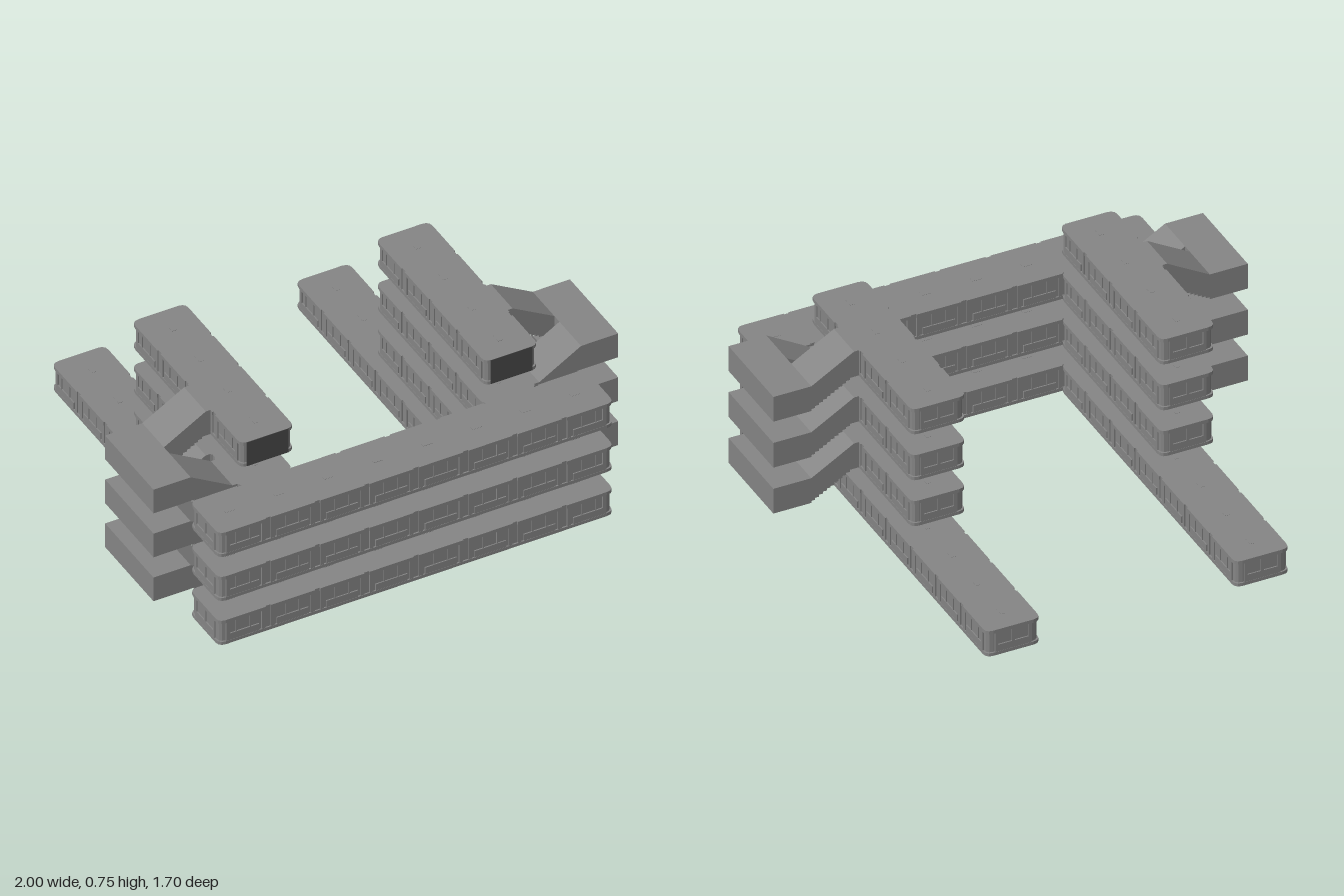
import * as THREE from 'three';
import { mergeGeometries } from 'three/addons/utils/BufferGeometryUtils.js';

const H = 0.115;      // storey height
const PITCH = 0.21;   // floor to floor
const W = 0.23;       // block depth
const grey = new THREE.MeshStandardMaterial({ color: 0x858585, flatShading: true });
const dark = new THREE.MeshStandardMaterial({ color: 0x484848, flatShading: true });

function part(name, geometry, material = grey) {
  const mesh = new THREE.Mesh(geometry, material);
  mesh.name = name;
  return mesh;
}

function box(w, h, d, x, y, z) {
  return new THREE.BoxGeometry(w, h, d).translate(x, y, z);
}

// Horizontal slab with rounded plan corners and a small groove at each of n - 1 module joints
function slab(l, w, r, y0, y1, n = 1) {
  const a = l / 2, b = w / 2, half = 0.011, depth = 0.005;
  const s = new THREE.Shape();
  const longEdge = (dir) => {
    for (let i = 1; i < n; i++) {
      const x = dir * (-a + (i * l) / n), z = -dir * b, zIn = -dir * (b - depth);
      s.lineTo(x - dir * half, z).lineTo(x - dir * half, zIn);
      s.lineTo(x + dir * half, zIn).lineTo(x + dir * half, z);
    }
    s.lineTo(dir * (a - r), -dir * b);
  };
  s.moveTo(-a + r, -b);
  longEdge(1);
  s.quadraticCurveTo(a, -b, a, -b + r);
  s.lineTo(a, b - r).quadraticCurveTo(a, b, a - r, b);
  longEdge(-1);
  s.quadraticCurveTo(-a, b, -a, b - r);
  s.lineTo(-a, -b + r).quadraticCurveTo(-a, -b, -a + r, -b);
  return new THREE.ExtrudeGeometry(s, { depth: y1 - y0, bevelEnabled: false, curveSegments: 3 })
    .rotateX(-Math.PI / 2).translate(0, y0, 0);
}

// One storey block along x, made of n equal modules
function block(name, length, n) {
  const g = new THREE.Group();
  g.name = name;
  const inset = 0.006, step = length / n;
  g.add(part('floorSlab', slab(length, W, 0.03, 0, 0.014)));
  g.add(part('wallCore', slab(length - 2 * inset, W - 2 * inset, 0.028, 0.014, 0.1)));
  g.add(part('roofSlab', slab(length, W, 0.03, 0.1, H, n)));

  const panels = [], posts = [], hatches = [];
  for (let i = 0; i < n; i++) {
    const x = -length / 2 + (i + 0.5) * step;
    hatches.push(box(0.04, 0.001, 0.02, x, H + 0.0005, 0));
    for (const side of [-1, 1]) {
      const z = side * (W / 2 - 0.005);
      // low wall under the windows, then slim window posts
      panels.push(box(step - 0.076, 0.03, 0.008, x, 0.029, z));
      for (const dx of [-0.03, 0.03]) posts.push(box(0.005, 0.056, 0.006, x + dx, 0.072, z));
      // pilasters flanking the module joints
      for (const e of [-1, 1]) {
        const atEnd = (i === 0 && e < 0) || (i === n - 1 && e > 0);
        posts.push(box(0.016, 0.086, 0.008, x + e * (step / 2 - (atEnd ? 0.04 : 0.02)), 0.057, z));
      }
    }
  }
  // end walls
  for (const side of [-1, 1]) {
    const x = side * (length / 2 - 0.005);
    panels.push(box(0.008, 0.03, 0.14, x, 0.029, 0));
    for (const z of [-0.07, 0, 0.07]) posts.push(box(0.008, 0.086, 0.012, x, 0.057, z));
  }
  g.add(part('wallPanels', mergeGeometries(panels)));
  g.add(part('pilasters', mergeGeometries(posts)));
  g.add(part('roofHatches', mergeGeometries(hatches)));
  return g;
}

// Wing running along z from zBack to zFront
function wing(side, level, zBack, zFront, n) {
  const g = block('wing', zFront - zBack, n);
  g.rotation.y = Math.PI / 2;
  g.position.set(side * 0.525, level * PITCH, (zBack + zFront) / 2);
  return g;
}

// Covered stair flight with a stepped underside, between the storey at y0 and the landing at y1
function flight(side, y0, y1, zMin) {
  const steps = 11, xInner = 0.63, xa = 0.66, xb = 0.84, rise = (y1 - y0) / steps;
  const pts = [[xInner, y0], [xa, y0]];
  for (let i = 0; i < steps; i++) {
    const x = xa + ((xb - xa) * i) / steps;
    const xNext = xa + ((xb - xa) * (i + 1)) / steps;
    const y = y0 + rise * (i + 1);
    // keep the notches inside the sloping underside
    if (rise > 0) pts.push([x, y], [xNext, y]);
    else pts.push([xNext, y - rise], [xNext, y]);
  }
  pts.push([xb, y1 + 0.113], [xa, y0 + H], [xInner, y0 + H]);
  const shape = new THREE.Shape(pts.map(([x, y]) => new THREE.Vector2(side * x, y)));
  return part('stairFlight', new THREE.ExtrudeGeometry(shape, { depth: 0.17, bevelEnabled: false })
    .translate(0, 0, zMin));
}

export function createModel() {
  const model = new THREE.Group();
  model.name = 'modularBuilding';

  // Front bars on the lower three storeys
  for (let level = 0; level < 3; level++) {
    const bar = block('frontBar', 1.7, 8);
    bar.position.set(0, level * PITCH, 0.736);
    model.add(bar);
  }

  for (const side of [-1, 1]) {
    // Wings: long on the ground, shorter above
    model.add(wing(side, 0, -0.85, 0.63, 7));
    for (let level = 1; level < 4; level++)
      model.add(wing(side, level, -0.22, level === 3 ? 0.64 : 0.63, 4));

    // Dark glazing across the front end of the top wing
    model.add(part('endGlazing',
      box(0.18, 0.113, 0.004, side * 0.525, 3 * PITCH + 0.0575, 0.639), dark));

    // External stairs: front flight up to the landing, rear flight up to the next storey
    for (let level = 0; level < 3; level++) {
      const y = level * PITCH, yMid = y + 0.108;
      const stairs = new THREE.Group();
      stairs.name = 'stairTower';
      stairs.add(flight(side, y, yMid, 0.44));
      stairs.add(flight(side, y + PITCH, yMid, 0.23));
      stairs.add(part('landing', box(0.16, 0.113, 0.38, side * 0.92, yMid + 0.0565, 0.42)));
      model.add(stairs);
    }
  }
  return model;
}
